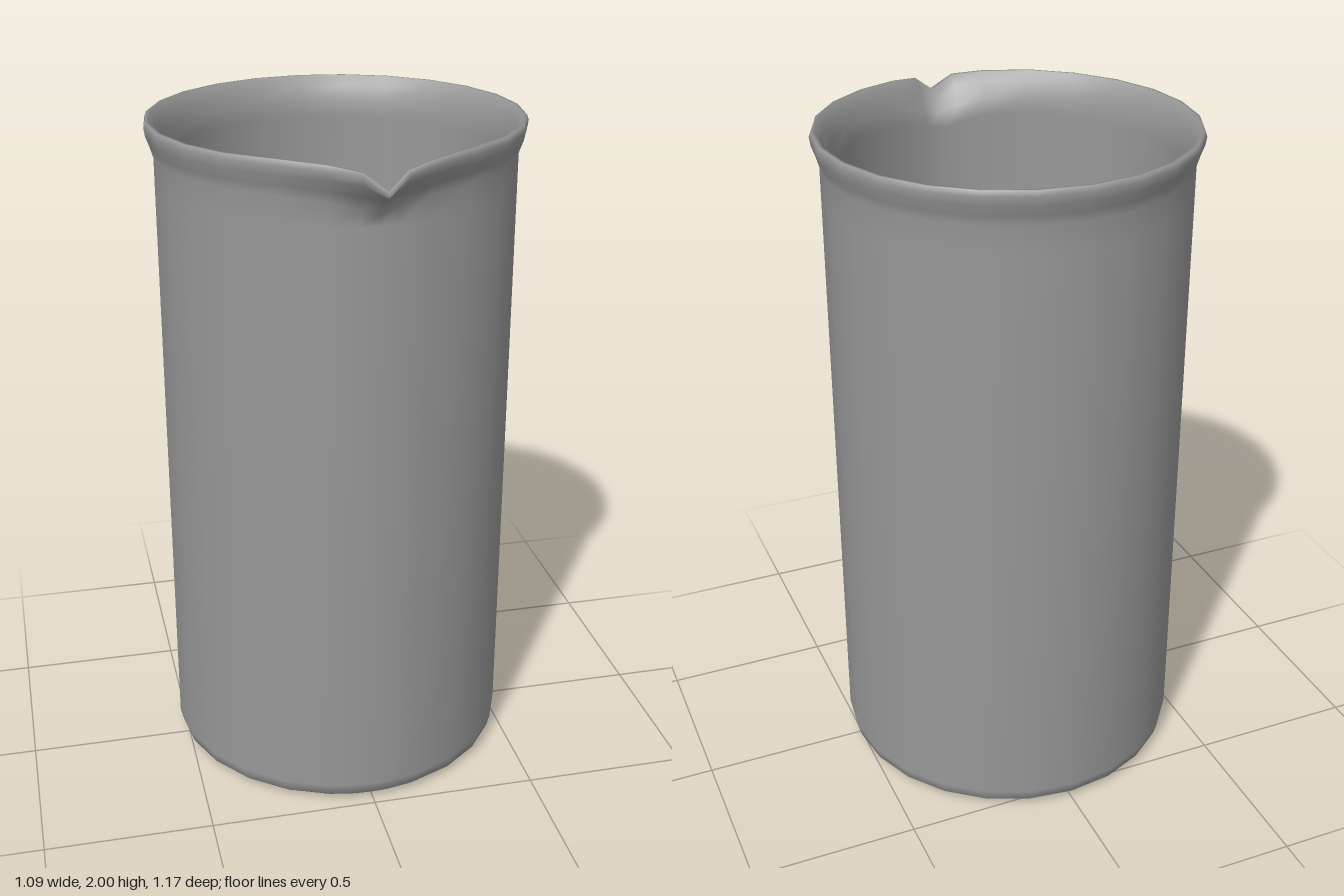
import * as THREE from 'three';

// Wall profile from the underside centre, up the outside, over the lip and down the inside.
// Each row: radius, height, then outward pull and drop at the tip of the spout.
const PROFILE = [
  [0, 0, 0, 0], [0.465, 0, 0, 0], [0.494, 0.007, 0, 0], [0.514, 0.025, 0, 0], [0.523, 0.06, 0, 0],
  [0.523, 1.82, 0, 0], [0.523, 1.9, 0.002, 0.05], [0.532, 1.93, 0.04, 0.03], [0.543, 1.96, 0.065, 0.045],
  [0.547, 1.985, 0.075, 0.06], [0.542, 2, 0.07, 0.065], [0.532, 2, 0.068, 0.067],
  [0.515, 1.97, 0.055, 0.06], [0.502, 1.93, 0.037, 0.05], [0.496, 1.88, 0.008, 0.04],
  [0.498, 0.11, 0, 0], [0.482, 0.055, 0, 0], [0.43, 0.03, 0, 0], [0, 0.03, 0, 0],
];

// Spout strength by angle from the front: degrees, soft share for the body, sharp share for the lip.
const SPOUT = [[0, 1, 1], [5.8, 0.66, 0.3], [15, 0.24, 0.1]];
const LIP_HEIGHT = 1.95;

function buildBeaker() {
  // 24 even sides plus two extra columns that sharpen the spout
  const columns = Array.from({ length: 24 }, (_, i) => i * 15);
  columns.push(5.8, 354.2);
  columns.sort((a, b) => a - b);
  const n = columns.length;
  const positions = [];
  const indices = [];

  for (const [radius, height, pull, drop] of PROFILE) {
    for (const degrees of columns) {
      const fromFront = Math.min(degrees, 360 - degrees);
      const row = SPOUT.find(([d]) => Math.abs(d - fromFront) < 0.01);
      const [, soft, sharp] = row || [0, 0, 0];
      const r = radius + pull * soft;
      const y = height - drop * (height > LIP_HEIGHT ? sharp : soft);
      const a = THREE.MathUtils.degToRad(degrees);
      positions.push(r * Math.sin(a), y, r * Math.cos(a));
    }
  }

  // Quads between rings, single triangles at the two poles
  const last = PROFILE.length - 1;
  for (let j = 0; j < last; j++) {
    for (let i = 0; i < n; i++) {
      const a = j * n + i, b = j * n + (i + 1) % n, c = a + n, d = b + n;
      if (j > 0) indices.push(a, b, j < last - 1 ? d : c);
      if (j < last - 1) indices.push(a, d, c);
    }
  }

  const geometry = new THREE.BufferGeometry();
  geometry.setAttribute('position', new THREE.Float32BufferAttribute(positions, 3));
  geometry.setIndex(indices);
  geometry.computeVertexNormals();
  return geometry;
}

export function createModel() {
  const group = new THREE.Group();
  group.name = 'beaker';
  const material = new THREE.MeshStandardMaterial({ color: 0x989898 });
  const body = new THREE.Mesh(buildBeaker(), material);
  body.name = 'beakerBody';
  // The spout reaches forward, so the round body sits slightly back
  body.position.z = -0.04;
  group.add(body);
  return group;
}
